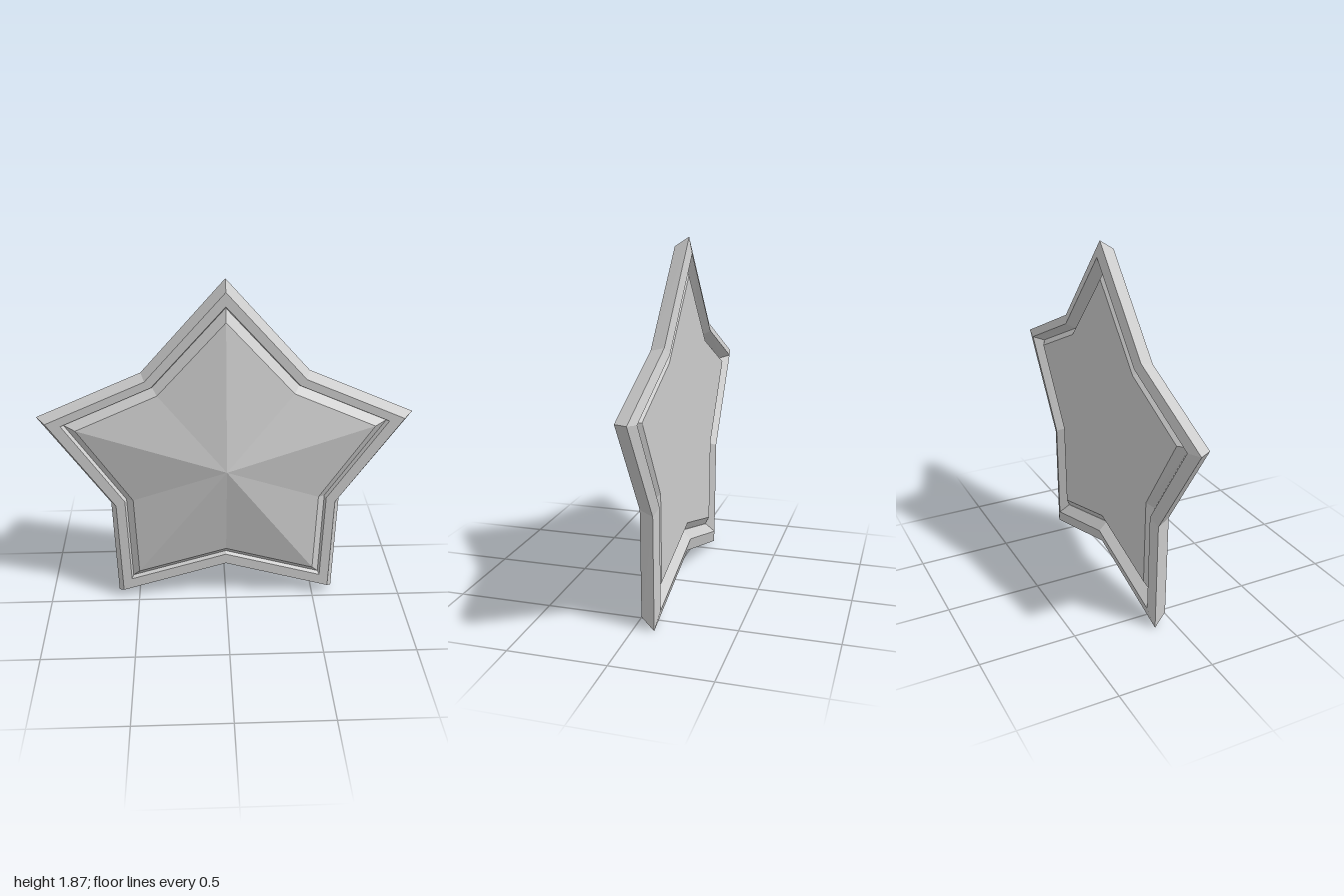
import * as THREE from 'three';

// Right half of the star outline, top tip to bottom valley: widest rim edge and gem edge
const OUTER = [[0, 1.87], [0.44, 1.375], [1.0, 1.13], [0.635, 0.6], [0.62, 0.005], [0, 0.185]];
const INNER = [[0, 1.677], [0.355, 1.287], [0.787, 1.095], [0.505, 0.67], [0.49, 0.205], [0, 0.345]];
const CENTRE = 'centre';

// Mirror a half outline into a full star, counter-clockwise from the front
function fullStar(half) {
  const left = half.slice(1, -1).map(([x, y]) => [-x, y]);
  return [half[0], ...left, half[5], ...half.slice(1, -1).reverse()];
}
const outer = fullStar(OUTER);
const inner = fullStar(INNER);

// Star cross-section at inset t (0 = rim edge, 1 = gem edge) and depth z
function section([t, z]) {
  return outer.map(([x, y], i) => (t === CENTRE
    ? new THREE.Vector3(0, 0.9, z)
    : new THREE.Vector3(x + (inner[i][0] - x) * t, y + (inner[i][1] - y) * t, z)));
}

// Faceted skin through a series of star sections, listed front to back
function starLoft(name, profile, material) {
  const positions = [];
  const tri = (...points) => points.forEach((p) => positions.push(p.x, p.y, p.z));
  for (let i = 0; i < profile.length - 1; i++) {
    const a = section(profile[i]);
    const b = section(profile[i + 1]);
    for (let j = 0; j < a.length; j++) {
      const k = (j + 1) % a.length;
      if (profile[i + 1][0] !== CENTRE) tri(a[j], b[j], b[k]);
      if (profile[i][0] !== CENTRE) tri(a[j], b[k], a[k]);
    }
  }
  const geometry = new THREE.BufferGeometry();
  geometry.setAttribute('position', new THREE.Float32BufferAttribute(positions, 3));
  geometry.computeVertexNormals();
  const mesh = new THREE.Mesh(geometry, material);
  mesh.name = name;
  return mesh;
}

export function createModel() {
  const group = new THREE.Group();
  group.name = 'star';
  const material = new THREE.MeshStandardMaterial({ color: 0xcccccc, flatShading: true });

  // Pointed face, bevelled edge and flat back
  group.add(starLoft('starBody', [
    [CENTRE, 0.125], [1, 0], [0.69, -0.052], [0.69, -0.07], [1, -0.105], [CENTRE, -0.105],
  ], material));

  // Sloping frame around the body, with a groove on both sides
  group.add(starLoft('rim', [
    [0.25, -0.03], [0, -0.105], [0.43, -0.122], [0.71, -0.075], [0.71, -0.055], [0.63, -0.03], [0.25, -0.03],
  ], material));

  return group;
}
